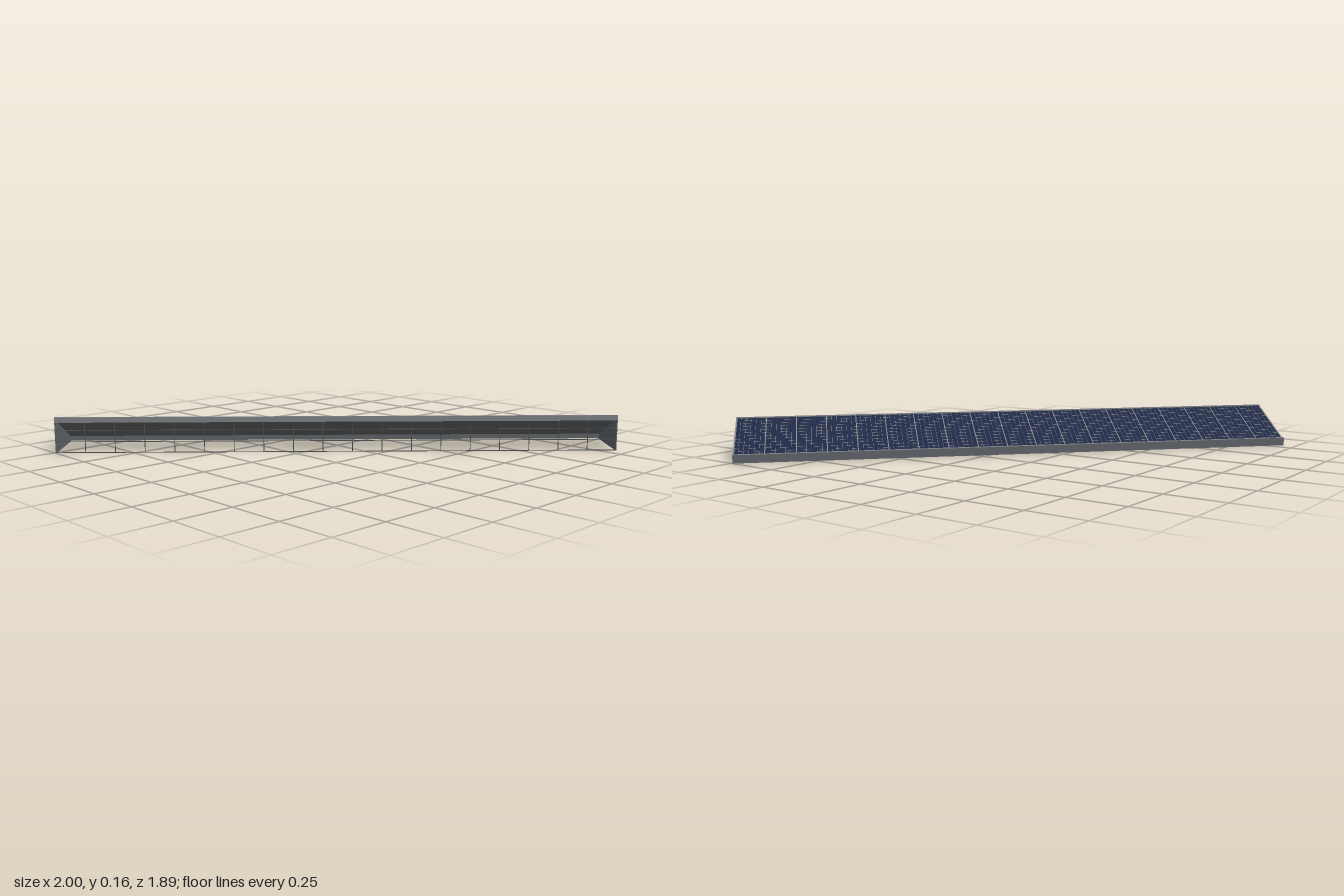
import * as THREE from 'three';

const mat = (name, color) => {
  const m = new THREE.MeshStandardMaterial({ color });
  m.name = name;
  return m;
};

export function createModel() {
  const cellBlue = mat('cellBlue', 0x1f2945);
  const lineGrey = mat('lineGrey', 0x8c8c86);
  const metal = mat('metal', 0x808386);
  const plate = mat('plateGrey', 0x5f6367);
  const wire = mat('wireGrey', 0x505254);

  const model = new THREE.Group();
  model.name = 'solarArray';
  const array = new THREE.Group();
  array.name = 'array';
  array.rotation.y = -0.7495; // the array stands diagonally
  model.add(array);

  const box = (parent, name, material, size, pos) => {
    const mesh = new THREE.Mesh(new THREE.BoxGeometry(...size), material);
    mesh.name = name;
    mesh.position.set(...pos);
    parent.add(mesh);
    return mesh;
  };

  const L = 2.472, half = L / 2, modules = 19, pitch = L / modules;
  const low = { z: -0.123, y: 0.03 }, high = { z: 0.136, y: 0.153 };
  const slope = Math.atan2(high.y - low.y, high.z - low.z);
  const depth = Math.hypot(high.y - low.y, high.z - low.z);

  // Sloping panel: backing sheet, cell surface and the lines between cells
  const panel = new THREE.Group();
  panel.name = 'panel';
  panel.position.set(0, (low.y + high.y) / 2, (low.z + high.z) / 2);
  panel.rotation.x = -slope;
  array.add(panel);
  box(panel, 'backSheet', plate, [L - 0.008, 0.005, depth], [0, -0.003, 0]);
  box(panel, 'cells', cellBlue, [L - 0.01, 0.003, depth - 0.004], [0, 0.001, 0]);
  for (let i = 0; i < modules; i++) {
    const x0 = -half + i * pitch;
    if (i > 0) box(panel, 'moduleDivider', lineGrey, [0.004, 0.002, depth - 0.004], [x0, 0.0025, 0]);
    for (let k = 1; k < 6; k++) {
      box(panel, 'cellLine', lineGrey, [0.001, 0.001, depth - 0.006], [x0 + (k * pitch) / 6, 0.0025, 0]);
    }
  }
  for (let k = 1; k < 12; k++) {
    box(panel, 'cellRow', lineGrey, [L - 0.012, 0.001, 0.001], [0, 0.0025, -depth / 2 + (k * depth) / 12]);
  }

  // Triangular end plates with a trim strip along the slope
  const side = new THREE.Shape([
    new THREE.Vector2(low.z, 0), new THREE.Vector2(0.139, 0),
    new THREE.Vector2(0.139, high.y), new THREE.Vector2(low.z, low.y),
  ]);
  const sideGeo = new THREE.ExtrudeGeometry(side, { depth: 0.004, bevelEnabled: false });
  sideGeo.rotateY(-Math.PI / 2); // profile x becomes z
  for (const s of [-1, 1]) {
    const end = new THREE.Mesh(sideGeo, plate);
    end.name = 'endPlate';
    end.position.x = s > 0 ? half : -half + 0.004;
    array.add(end);
    box(panel, 'endTrim', metal, [0.006, 0.008, depth], [s * (half - 0.003), 0, 0]);
  }

  // Low front lip with its top flange
  box(array, 'lipFace', plate, [L, 0.035, 0.003], [0, 0.0175, -0.1385]);
  box(array, 'lipFlange', metal, [L, 0.004, 0.018], [0, 0.034, -0.131]);

  // Rail along the high edge
  box(array, 'highRail', metal, [L, 0.024, 0.008], [0, 0.147, 0.136]);

  // Open wire mesh closing the tall side
  for (let i = 0; i <= modules; i++) {
    const x = Math.max(-half + 0.002, Math.min(half - 0.002, -half + i * pitch));
    box(array, 'meshPost', wire, [0.003, 0.14, 0.003], [x, 0.07, 0.136]);
  }
  for (const y of [0.0015, 0.05, 0.1]) {
    box(array, 'meshRail', wire, [L, 0.003, 0.003], [0, y, 0.136]);
  }
  return model;
}
